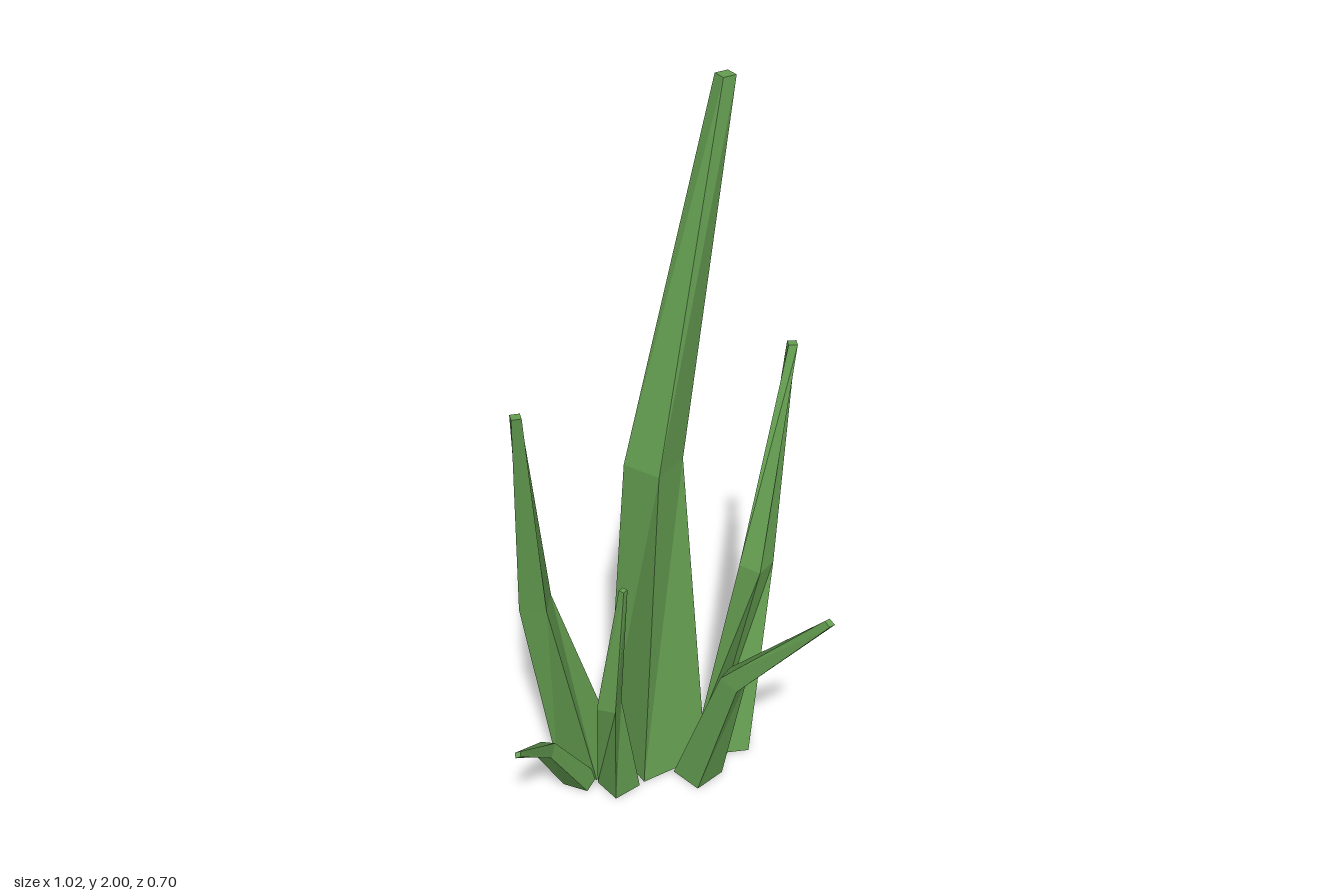
import * as THREE from 'three';

const grass = new THREE.MeshStandardMaterial({ color: 0x66a052, flatShading: true });
grass.name = 'grass green';

// Each ring is a square section: [x, y, z, corner radius, turn in degrees, tilt].
// The tilt lowers the side of the ring towards which the blade leans.
function blade(name, rings) {
  const first = rings[0], last = rings[rings.length - 1];
  const lean = new THREE.Vector2(last[0] - first[0], last[2] - first[2]).normalize();

  const loops = rings.map(([x, y, z, r, turn, tilt = 0]) => [0, 1, 2, 3].map((k) => {
    const a = THREE.MathUtils.degToRad(turn + k * 90);
    const dx = r * Math.cos(a), dz = -r * Math.sin(a);
    return [x + dx, y - tilt * (dx * lean.x + dz * lean.y), z + dz];
  }));

  const points = [];
  const quad = (a, b, c, d) => points.push(...a, ...b, ...c, ...a, ...c, ...d);

  // sides
  for (let i = 0; i < loops.length - 1; i++) {
    for (let k = 0; k < 4; k++) {
      const n = (k + 1) % 4;
      quad(loops[i][k], loops[i][n], loops[i + 1][n], loops[i + 1][k]);
    }
  }
  // tip and base caps
  quad(...loops[loops.length - 1]);
  quad(...[...loops[0]].reverse());

  const geometry = new THREE.BufferGeometry();
  geometry.setAttribute('position', new THREE.Float32BufferAttribute(points, 3));
  geometry.computeVertexNormals();
  const mesh = new THREE.Mesh(geometry, grass);
  mesh.name = name;
  return mesh;
}

export function createModel() {
  const group = new THREE.Group();
  group.name = 'grassTuft';
  group.add(
    blade('tallBlade', [
      [0.04, 0, -0.193, 0.147, 225],
      [0.038, 1, -0.188, 0.078, 249],
      [0.247, 2, -0.192, 0.026, 225],
    ]),
    blade('backRightBlade', [
      [-0.145, 0, -0.258, 0.095, 252],
      [-0.291, 0.63, -0.258, 0.052, 277],
      [-0.374, 1.3, -0.137, 0.018, 297],
    ]),
    blade('leftBlade', [
      [0.228, 0, -0.121, 0.088, 202],
      [0.326, 0.6, -0.12, 0.048, 248],
      [0.491, 1.2, -0.218, 0.0175, 289],
    ]),
    blade('frontBlade', [
      [0.0875, 0, -0.042, 0.069, 237],
      [0.115, 0.425, 0.087, 0.036, 250, 0.5],
      [0.232, 0.738, 0.337, 0.013, 235, 0.5],
    ]),
    blade('smallFrontBlade', [
      [-0.129, 0, -0.121, 0.06, 232],
      [-0.188, 0.37, -0.058, 0.037, 266],
      [-0.171, 0.79, 0.002, 0.011, 245],
    ]),
    blade('smallRightBlade', [
      [-0.21, 0, -0.195, 0.053, 260],
      [-0.345, 0.225, -0.135, 0.028, 270, 0.5],
      [-0.5, 0.4, 0.012, 0.01, 290, 0.5],
    ]),
  );
  return group;
}
